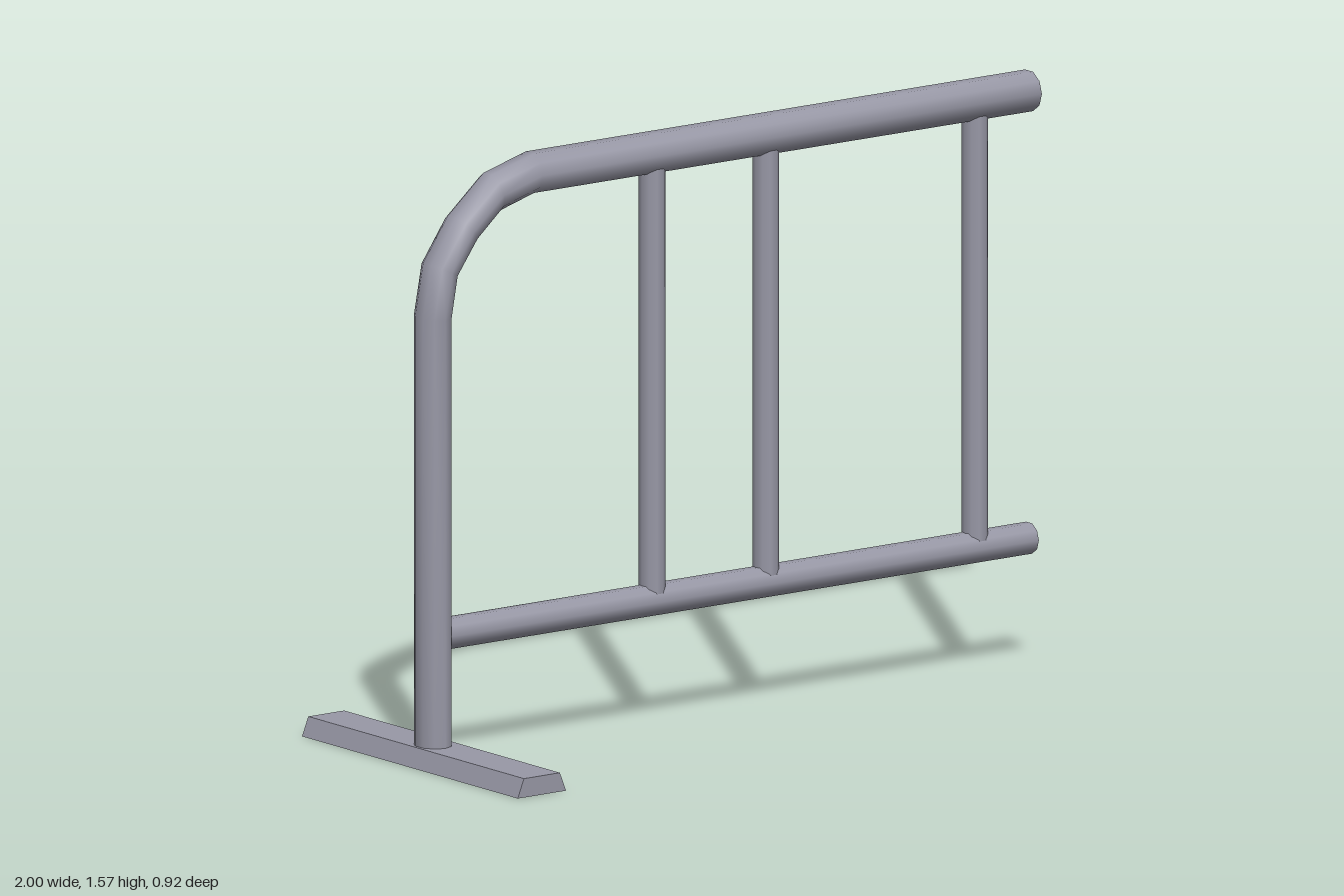
import * as THREE from 'three';

const COLOR = 0x9898a6;
const material = new THREE.MeshStandardMaterial({ color: COLOR });
const tubeMaterial = new THREE.MeshStandardMaterial({ color: COLOR, side: THREE.DoubleSide });
const SIDES = 10;

function add(parent, name, geometry, mat = tubeMaterial) {
  const mesh = new THREE.Mesh(geometry, mat);
  mesh.name = name;
  parent.add(mesh);
}

// Bent ten-sided tube from [outerX, outerY, innerX, innerY] stations,
// with a flat side along the outer and inner line.
function bentTube(stations, depth) {
  const positions = [], index = [];
  const flat = 2 * Math.cos(Math.PI / SIDES);
  stations.forEach(([ox, oy, ix, iy], i) => {
    for (let j = 0; j < SIDES; j++) {
      const a = ((j + 0.5) / SIDES) * Math.PI * 2, c = Math.cos(a) / flat;
      positions.push((ox + ix) / 2 + (ox - ix) * c, (oy + iy) / 2 + (oy - iy) * c, Math.sin(a) * depth);
      if (i === 0) continue;
      const k = (j + 1) % SIDES, p = (i - 1) * SIDES, q = i * SIDES;
      index.push(p + j, p + k, q + j, p + k, q + k, q + j);
    }
  });
  const g = new THREE.BufferGeometry();
  g.setAttribute('position', new THREE.Float32BufferAttribute(positions, 3));
  g.setIndex(index);
  g.computeVertexNormals();
  return g;
}

export function createModel() {
  const model = new THREE.Group();
  model.name = 'barrier';

  // Post, faceted corner bend and open-ended top rail in one tube
  add(model, 'frameTube', bentTube([
    [-0.971, 0.03, -0.882, 0.03],
    [-0.971, 1.18, -0.882, 1.18],
    [-0.944, 1.322, -0.864, 1.283],
    [-0.864, 1.437, -0.803, 1.367],
    [-0.749, 1.535, -0.723, 1.437],
    [-0.612, 1.573, -0.612, 1.469],
    [1, 1.573, 1, 1.469],
  ], 0.055));

  // Lower rail running from inside the post to the open end
  const start = -0.927;
  const rail = new THREE.CylinderGeometry(0.042, 0.042, 1 - start, SIDES, 1, true);
  rail.rotateZ(Math.PI / 2).translate((1 + start) / 2, 0.339, 0);
  add(model, 'lowerRail', rail);

  // Uprights between the rails
  const bars = new THREE.Group();
  bars.name = 'uprights';
  model.add(bars);
  for (const x of [-0.218, 0.149, 0.824]) {
    const bar = new THREE.CylinderGeometry(1, 1, 1.21, SIDES, 1, true);
    bar.rotateY(Math.PI / 2).scale(0.033, 1, 0.037).translate(x, 0.935, 0);
    add(bars, 'upright', bar);
  }

  // Foot with sloping long sides
  const profile = new THREE.Shape([
    new THREE.Vector2(-1, 0), new THREE.Vector2(-0.844, 0),
    new THREE.Vector2(-0.864, 0.05), new THREE.Vector2(-0.98, 0.05),
  ]);
  const foot = new THREE.ExtrudeGeometry(profile, { depth: 0.924, bevelEnabled: false });
  add(model, 'foot', foot.translate(0, 0, -0.462), material);

  return model;
}
